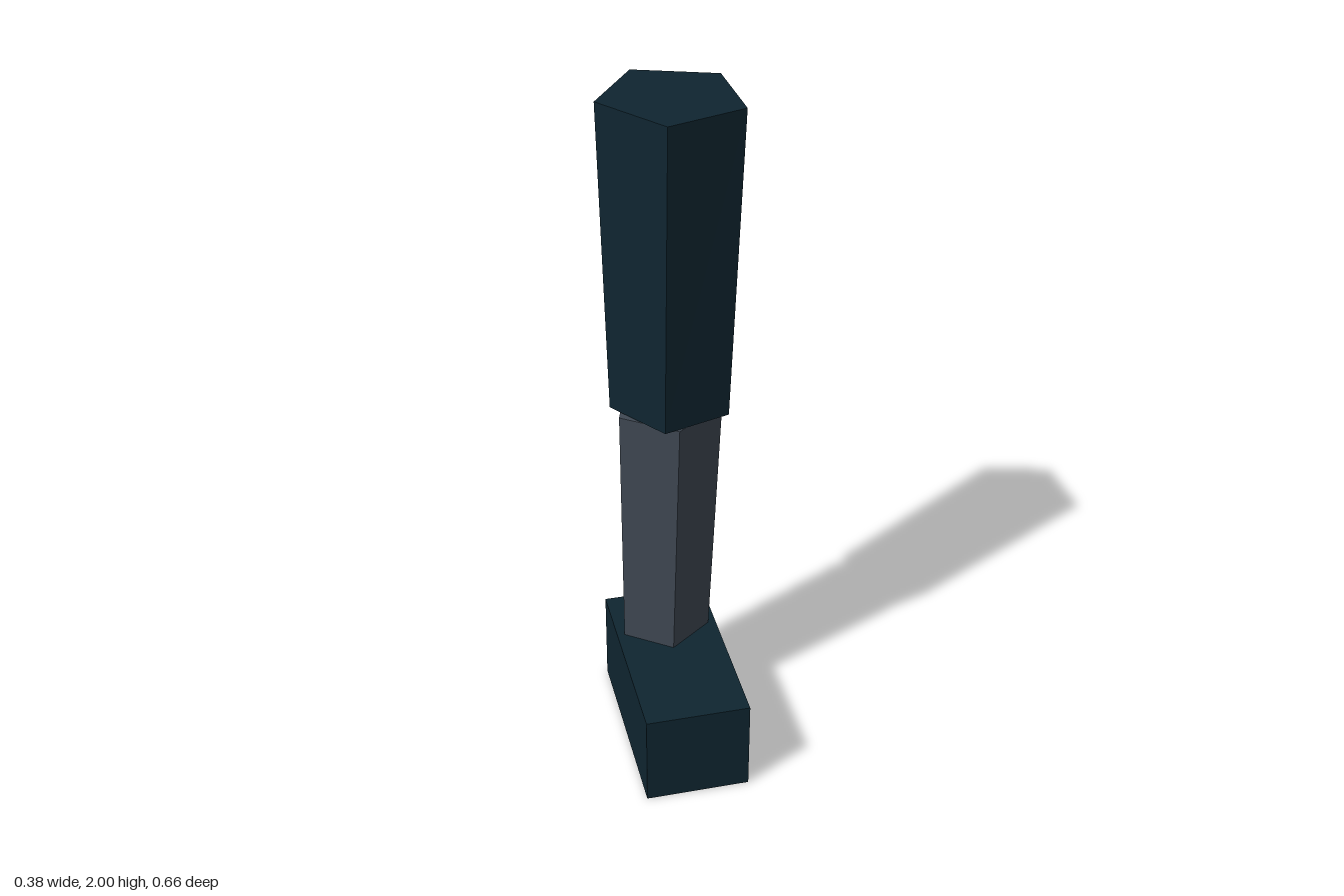
import * as THREE from 'three';

const navy = new THREE.MeshStandardMaterial({ color: 0x0f2530 });
navy.name = 'dark navy';
const slate = new THREE.MeshStandardMaterial({ color: 0x3f4853 });
slate.name = 'slate grey';

// Five corners [x, y, z], clockwise from above, starting at the given turn from the front.
// slope tilts the ring sideways.
function ring(cx, y, cz, radius, turn, slope = 0) {
  return Array.from({ length: 5 }, (_, i) => {
    const a = turn + (i * Math.PI * 2) / 5;
    const dx = -Math.sin(a) * radius;
    return [cx + dx, y + dx * slope, cz + Math.cos(a) * radius];
  });
}

// Closed, flat-faced limb between two rings
function limb(name, bottom, top, material) {
  const points = [];
  const n = bottom.length;
  for (let i = 0; i < n; i++) {
    const j = (i + 1) % n;
    points.push(bottom[j], bottom[i], top[i], bottom[j], top[i], top[j]);
    if (i > 0 && i < n - 1) {
      points.push(top[0], top[j], top[i], bottom[0], bottom[i], bottom[j]);
    }
  }
  const geometry = new THREE.BufferGeometry();
  geometry.setAttribute('position', new THREE.Float32BufferAttribute(points.flat(), 3));
  geometry.computeVertexNormals();
  const mesh = new THREE.Mesh(geometry, material);
  mesh.name = name;
  return mesh;
}

export function createModel() {
  const group = new THREE.Group();
  group.name = 'leg';

  // Block foot
  const foot = new THREE.Mesh(new THREE.BoxGeometry(0.307, 0.29, 0.595), navy);
  foot.name = 'foot';
  foot.position.set(-0.0145, 0.145, 0.0285);
  group.add(foot);

  // Shin, widening and leaning forward toward the knee
  group.add(limb('lowerLeg',
    ring(-0.015, 0.27, -0.128, 0.137, 0),
    ring(-0.007, 1.09, -0.101, 0.156, 0), slate));

  // Thigh, turned slightly and widening toward the hip
  group.add(limb('upperLeg',
    ring(0.005, 1.092, -0.105, 0.176, 0.315, -0.02),
    ring(0.0166, 1.995, -0.136, 0.206, 0.28, -0.024), navy));

  return group;
}
